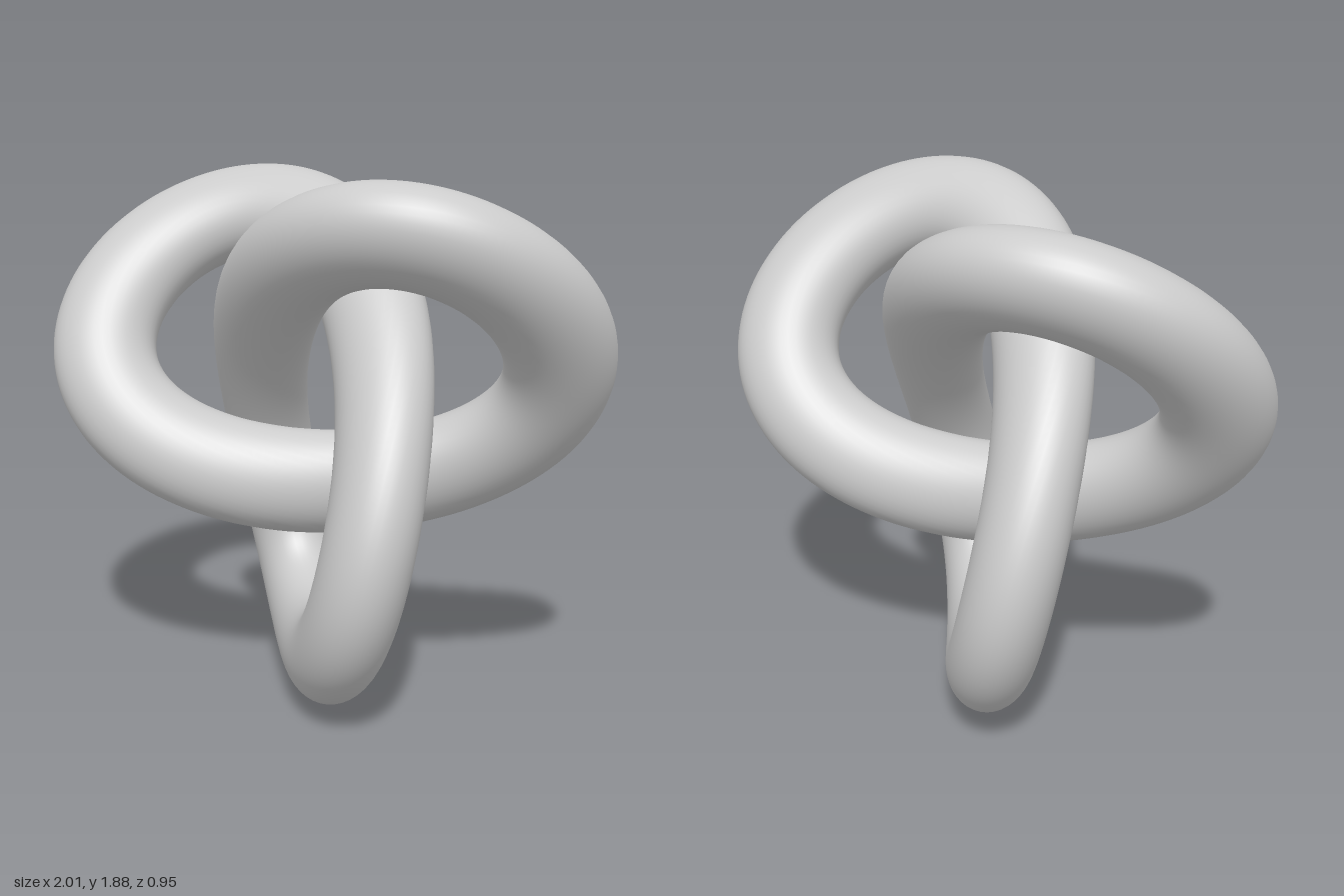
import * as THREE from 'three';

const S = 0.301;            // knot scale
const WIDE = 0.187;         // half-width of the section along the curve normal
const THIN = 0.154;         // half-width along the binormal
const RINGS = 320, SIDES = 40;

// Trefoil centreline with its first and second derivatives
const position = t => new THREE.Vector3(
  Math.sin(t) + 2 * Math.sin(2 * t), Math.cos(t) - 2 * Math.cos(2 * t), -Math.sin(3 * t)).multiplyScalar(S);
const velocity = t => new THREE.Vector3(
  Math.cos(t) + 4 * Math.cos(2 * t), -Math.sin(t) + 4 * Math.sin(2 * t), -3 * Math.cos(3 * t));
const acceleration = t => new THREE.Vector3(
  -Math.sin(t) - 8 * Math.sin(2 * t), -Math.cos(t) + 8 * Math.cos(2 * t), 9 * Math.sin(3 * t));

// Closed tube with an oval section that follows the curve's normal and binormal
function knotGeometry() {
  const points = [], index = [];
  for (let i = 0; i < RINGS; i++) {
    const t = (i / RINGS) * Math.PI * 2;
    const p = position(t), tangent = velocity(t).normalize();
    const binormal = tangent.clone().cross(acceleration(t)).normalize();
    const normal = binormal.clone().cross(tangent);
    for (let j = 0; j < SIDES; j++) {
      const a = (j / SIDES) * Math.PI * 2;
      const v = p.clone()
        .addScaledVector(normal, WIDE * Math.cos(a))
        .addScaledVector(binormal, THIN * Math.sin(a));
      points.push(v.x, v.y, v.z);

      // Wrap both ways so the surface has no seam
      const ni = (i + 1) % RINGS, nj = (j + 1) % SIDES;
      const q0 = i * SIDES + j, q1 = i * SIDES + nj, q2 = ni * SIDES + nj, q3 = ni * SIDES + j;
      index.push(q0, q1, q2, q0, q2, q3);
    }
  }
  const geometry = new THREE.BufferGeometry();
  geometry.setAttribute('position', new THREE.Float32BufferAttribute(points, 3));
  geometry.setIndex(index);
  geometry.computeVertexNormals();
  return geometry;
}

export function createModel() {
  const group = new THREE.Group();
  group.name = 'trefoilKnot';
  const knot = new THREE.Mesh(knotGeometry(), new THREE.MeshStandardMaterial({ color: 0xcccccc }));
  knot.name = 'knotTube';
  knot.position.y = 3 * S + WIDE; // lowest lobe rests on the ground
  group.add(knot);
  return group;
}
